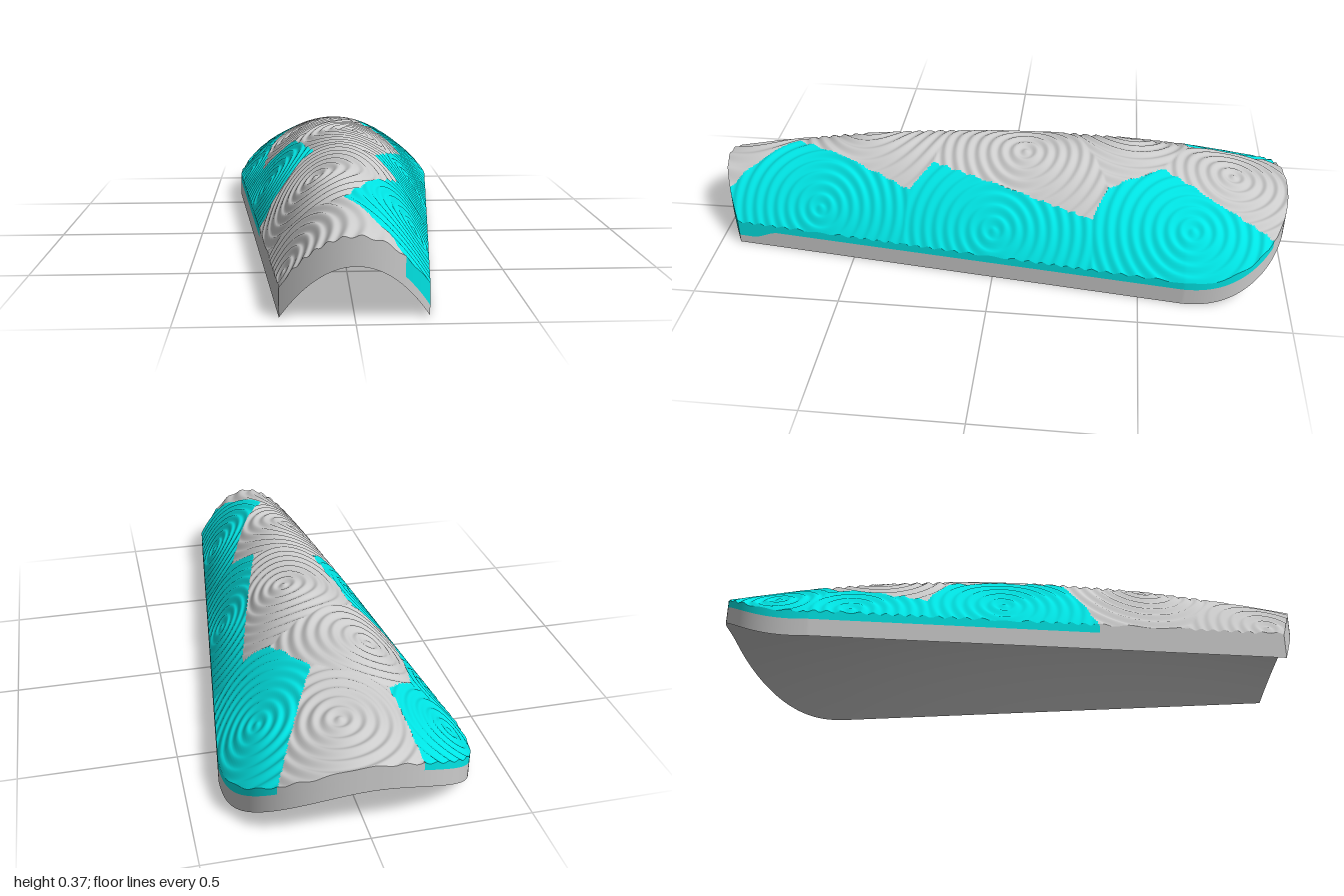
import * as THREE from 'three';

const WAVE = 0.04, RIPPLE = 0.005;
// Ripple centres: x, z, coloured or not
const CELLS = [
  [0.05, -0.81, 0], [0.27, -0.67, 1], [-0.31, -0.77, 1], [-0.14, -0.45, 0],
  [-0.36, -0.52, 1], [0.06, -0.09, 0], [0.27, 0.0, 1], [-0.27, -0.02, 1],
  [-0.1, 0.47, 0], [0.2, 0.62, 1], [-0.2, 0.88, 0],
];

// Width of the arch, and of the outline with its rounded rear
const archHalf = z => 0.39 - 0.18 * Math.max(0, z + 0.65) / 1.58;
function outlineHalf(z) {
  const t = Math.min(1, Math.max(0, (-z - 0.65) / 0.35));
  return archHalf(z) * Math.pow(1 - Math.pow(t, 2.5), 0.4);
}

// Crown line along the middle, and parabolic cross-sections under it
const crown = z => 0.37 - (z > -0.1 ? 0.1 : 0.135) * (z + 0.1) ** 2;
const arch = (x, z) => 1 - (x / archHalf(z)) ** 2;
const outer = (x, z) => 0.09 + (crown(z) - 0.09) * arch(x, z);
const inner = (x, z) => (crown(z) - 0.085) * arch(x, z);
const seam = (x, z) => {
  const drop = THREE.MathUtils.smoothstep(z, 0.78, 0.88) * THREE.MathUtils.smoothstep(x, 0.04, 0.09);
  return inner(x, z) + 0.06 - 0.03 * drop;
};

const centres = CELLS.map(([x, z, tint]) => ({ p: new THREE.Vector3(x, outer(x, z), z), tint }));
function nearest(x, z) {
  const p = new THREE.Vector3(x, outer(x, z), z);
  let best = null, d = Infinity;
  for (const c of centres) {
    const e = c.p.distanceTo(p);
    if (e < d) { d = e; best = c; }
  }
  return { d, tint: best.tint };
}
const rippled = (x, z) => outer(x, z) + RIPPLE * (Math.cos(2 * Math.PI * nearest(x, z).d / WAVE) - 1) * 0.8 + 0.003;

// Plan position for u across (-1..1) and v from rear to front (0..1)
function plan(u, v) {
  const z0 = v < 0.25 ? -0.65 - 0.35 * Math.cos(Math.PI * 2 * v) : -0.65 + 2.2 * (v - 0.25);
  const z = z0 - 0.07 * u * u * Math.max(0, z0) ** 3;
  return [u * outlineHalf(z), z];
}

// Grid of quads over s, t in 0..1; keep() picks the quads by plan position
function patch(fn, ns, nt, flip, keep) {
  const pos = [], idx = [], n = ns + 1;
  for (let j = 0; j <= nt; j++) for (let i = 0; i <= ns; i++) pos.push(...fn(i / ns, j / nt));
  for (let j = 0; j < nt; j++) for (let i = 0; i < ns; i++) {
    const a = j * n + i, b = a + 1, c = a + n, d = c + 1;
    if (keep && !keep((pos[a * 3] + pos[d * 3]) / 2, (pos[a * 3 + 2] + pos[d * 3 + 2]) / 2)) continue;
    if (flip) idx.push(a, b, c, b, d, c);
    else idx.push(a, c, b, b, c, d);
  }
  const g = new THREE.BufferGeometry();
  g.setAttribute('position', new THREE.Float32BufferAttribute(pos, 3));
  g.setIndex(idx);
  g.computeVertexNormals();
  return g;
}

const sheet = (height, nu, nv, flip, keep) => patch((s, t) => {
  const [x, z] = plan(2 * s - 1, t);
  return [x, height(x, z), z];
}, nu, nv, flip, keep);

// Edge walls between two height functions: both sides and the front
function walls(low, high, nu, nv, keep) {
  const wall = (at, n, flip) => patch((s, t) => {
    const [x, z] = at(s);
    return [x, THREE.MathUtils.lerp(low(x, z), high(x, z), t), z];
  }, n, 1, flip, keep);
  return [
    wall(s => plan(1, s), nv, false),
    wall(s => plan(-1, s), nv, true),
    wall(s => plan(2 * s - 1, 1), nu, true),
  ];
}

export function createModel() {
  const model = new THREE.Group();
  model.name = 'rippledShell';
  const grey = new THREE.MeshStandardMaterial({ color: 0xcccccc, side: THREE.DoubleSide });
  const cyan = new THREE.MeshStandardMaterial({ color: 0x00e5e5, side: THREE.DoubleSide });

  const part = (name, geometries, material) => {
    const group = new THREE.Group();
    group.name = name;
    for (const g of geometries) {
      const mesh = new THREE.Mesh(g, material);
      mesh.name = name + 'Surface';
      group.add(mesh);
    }
    model.add(group);
  };

  // Smooth lower shell
  part('base', [sheet(inner, 48, 100, true), ...walls(inner, seam, 160, 400)], grey);

  // Rippled upper layer, split into its two colours
  for (const [name, tint, material] of [['greyRipples', 0, grey], ['colouredRipples', 1, cyan]]) {
    const keep = (x, z) => nearest(x, z).tint === tint;
    part(name, [sheet(rippled, 150, 400, false, keep), ...walls(seam, rippled, 150, 400, keep)], material);
  }
  return model;
}
